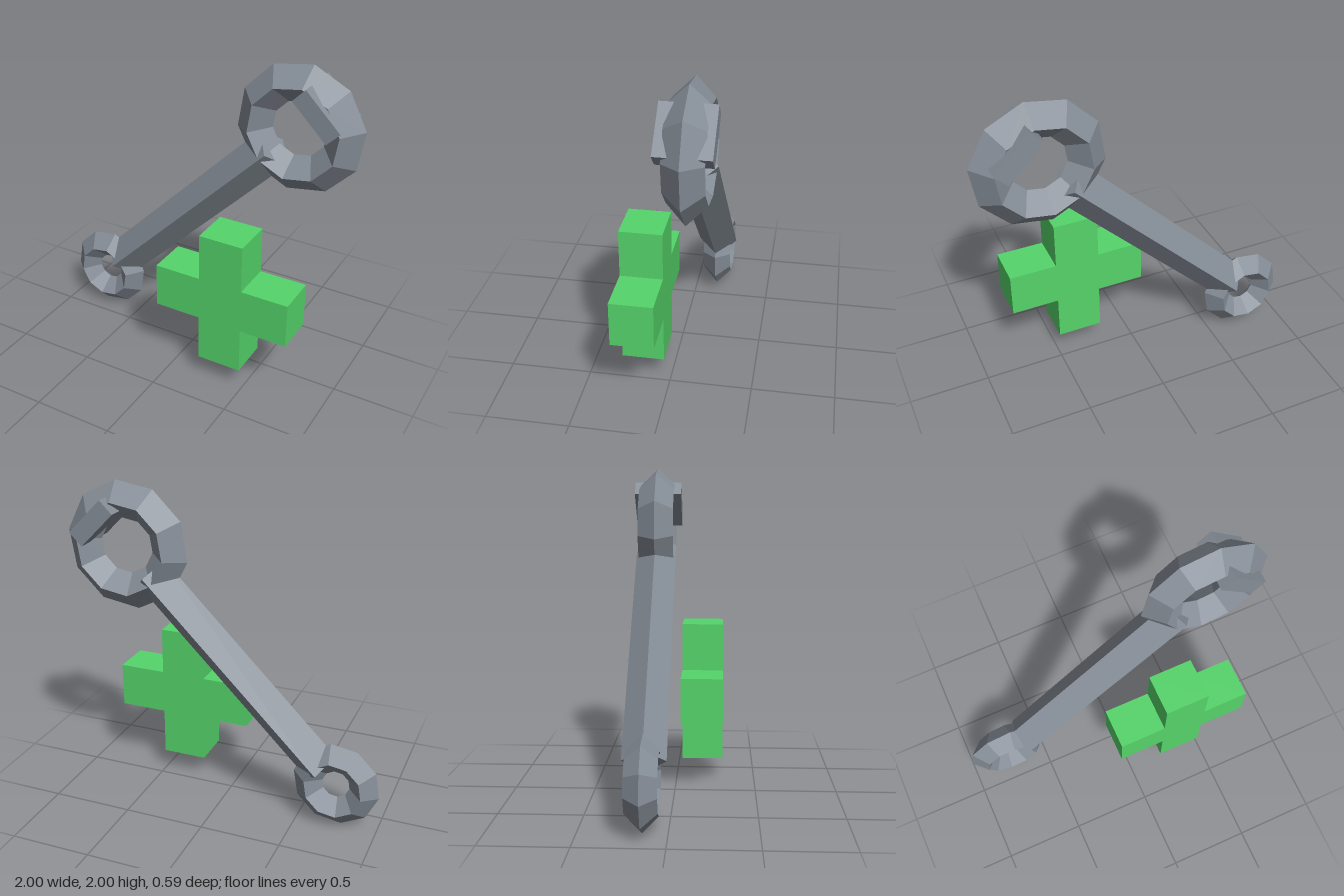
import * as THREE from 'three';

export function createModel() {
  const model = new THREE.Group();
  const steel = new THREE.MeshStandardMaterial({ color: 0x868e98, flatShading: true });
  const green = new THREE.MeshStandardMaterial({ color: 0x55d46a, flatShading: true });

  const add = (parent, name, geometry, material, x, y, z = 0) => {
    const mesh = new THREE.Mesh(geometry, material);
    mesh.name = name;
    mesh.position.set(x, y, z);
    parent.add(mesh);
    return mesh;
  };

  // Wrench, tilted 45 degrees
  const wrench = new THREE.Group();
  wrench.name = 'wrench';
  wrench.position.z = -0.143;
  model.add(wrench);

  // Ten-sided rings with a diamond cross-section
  const addRing = (name, radius, tube, x, y) => {
    add(wrench, name, new THREE.TorusGeometry(radius, tube, 4, 10), steel, x, y).rotation.z = Math.PI / 4;
  };
  addRing('largeRing', 0.282, 0.113, 0.61, 1.61);
  addRing('smallRing', 0.178, 0.092, -0.733, 0.268);

  // Four-sided handle, ridge facing front
  const start = new THREE.Vector2(-0.635, 0.365);
  const end = new THREE.Vector2(0.455, 1.455);
  const handle = new THREE.CylinderGeometry(0.127, 0.127, start.distanceTo(end), 4);
  add(wrench, 'handle', handle, steel, (start.x + end.x) / 2, (start.y + end.y) / 2).rotation.z = -Math.PI / 4;

  // Block across the far side of the large ring
  add(wrench, 'jawBlock', new THREE.BoxGeometry(0.11, 0.3, 0.308), steel, 0.762, 1.765).rotation.z = Math.PI / 4;

  // Plus sign, one extruded outline made by turning an arm four times
  const half = 0.435, arm = 0.14, depth = 0.257;
  const outline = [];
  for (let i = 0; i < 4; i++) {
    for (const [x, y] of [[half, -arm], [half, arm], [arm, arm]]) {
      outline.push(new THREE.Vector2(x, y).rotateAround(new THREE.Vector2(), i * Math.PI / 2));
    }
  }
  const plus = new THREE.ExtrudeGeometry(new THREE.Shape(outline), { depth, bevelEnabled: false });
  add(model, 'plusSign', plus, green, 0.349, 0.581, 0.038);

  return model;
}
